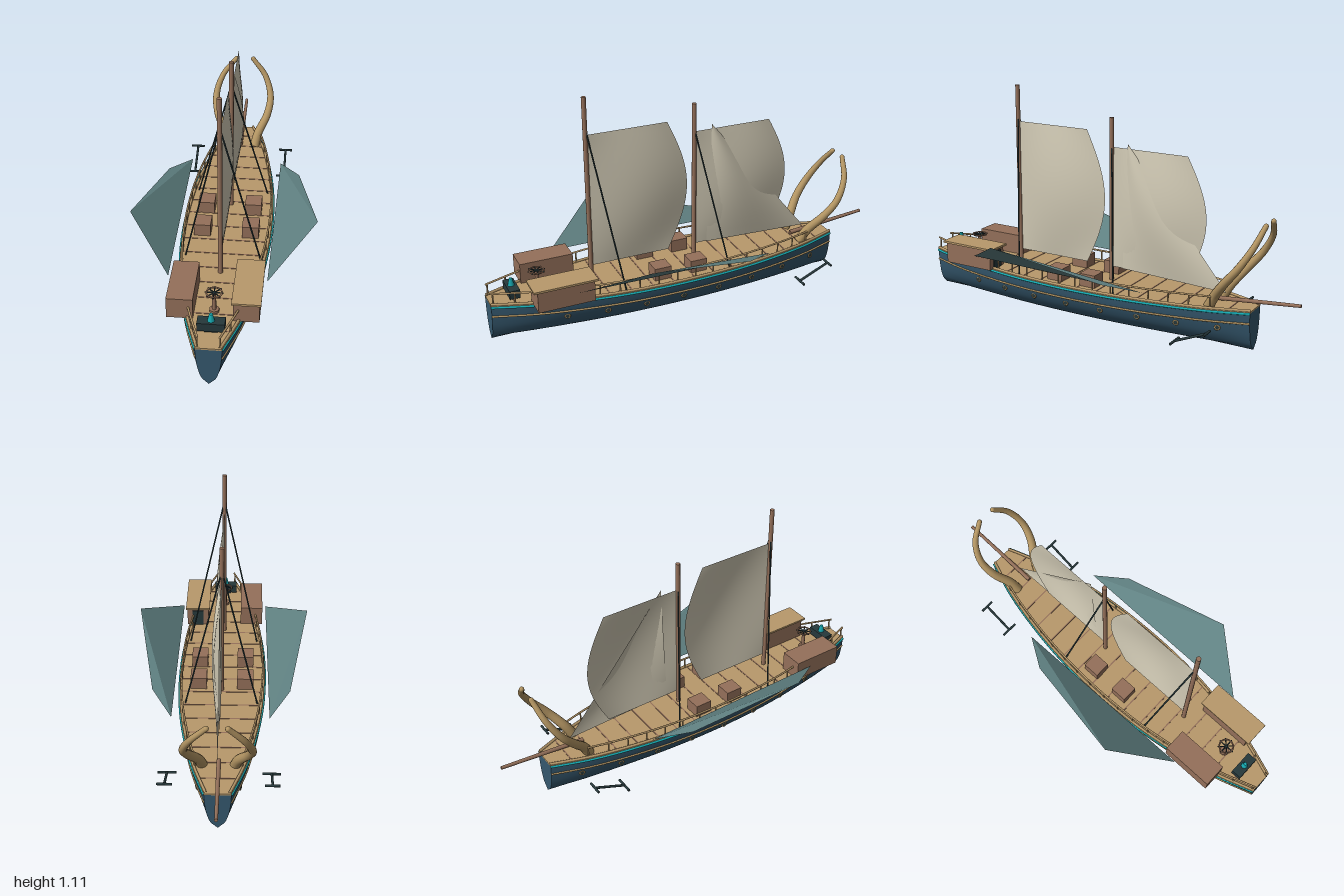
import * as THREE from 'three';

const mat = (name, color, side = THREE.FrontSide) => {
  const m = new THREE.MeshStandardMaterial({ color, side });
  m.name = name;
  return m;
};

export function createModel() {
  const ship = new THREE.Group();
  ship.name = 'sailingShip';
  const M = {
    hull: mat('hullBlue', 0x35586e),
    deck: mat('deckTan', 0xb8996b),
    wood: mat('woodBrown', 0x94705a),
    horn: mat('hornTan', 0xb39563),
    dark: mat('darkMetal', 0x26383b),
    glow: mat('cyan', 0x17adb5),
    sail: mat('sailCanvas', 0xd0c9b4, THREE.DoubleSide),
    fin: mat('finTeal', 0x5f8081, THREE.DoubleSide),
  };
  const V = (x, y, z) => new THREE.Vector3(x, y, z);

  const add = (name, geo, material, x = 0, y = 0, z = 0) => {
    const mesh = new THREE.Mesh(geo, material);
    mesh.name = name;
    mesh.position.set(x, y, z);
    ship.add(mesh);
    return mesh;
  };
  const box = (name, m, x0, x1, y0, y1, z0, z1) =>
    add(name, new THREE.BoxGeometry(x1 - x0, y1 - y0, z1 - z0), m, (x0 + x1) / 2, (y0 + y1) / 2, (z0 + z1) / 2);
  // Round bar between two points
  const rod = (name, m, a, b, r0, r1 = r0, sides = 10) => {
    const d = b.clone().sub(a);
    const mesh = add(name, new THREE.CylinderGeometry(r1, r0, d.length(), sides), m);
    mesh.position.copy(a).addScaledVector(d, 0.5);
    mesh.quaternion.setFromUnitVectors(V(0, 1, 0), d.normalize());
    return mesh;
  };
  // Surface from a rule f(u, v)
  const grid = (nu, nv, f) => {
    const pos = [], idx = [];
    for (let i = 0; i <= nu; i++) for (let j = 0; j <= nv; j++) pos.push(...f(i / nu, j / nv));
    for (let i = 0; i < nu; i++) for (let j = 0; j < nv; j++) {
      const a = i * (nv + 1) + j, b = a + nv + 1;
      idx.push(a, b, a + 1, b, b + 1, a + 1);
    }
    const g = new THREE.BufferGeometry();
    g.setAttribute('position', new THREE.Float32BufferAttribute(pos, 3));
    g.setIndex(idx);
    g.computeVertexNormals();
    return g;
  };

  // Half width of the hull along its length
  const Z0 = -0.785, Z1 = 1;
  const widths = [[-0.785, 0.06], [-0.6, 0.123], [-0.4, 0.168], [-0.2, 0.198], [0, 0.212], [0.2, 0.213],
    [0.4, 0.2], [0.6, 0.17], [0.8, 0.125], [1, 0.057]];
  const plan = new THREE.CatmullRomCurve3(widths.map(([z, w]) => V(w, 0, z))).getPoints(90);
  const halfWidth = (z) => {
    for (let i = 1; i < plan.length; i++) {
      const a = plan[i - 1], b = plan[i];
      if (z <= b.z) return a.x + (b.x - a.x) * (z - a.z) / (b.z - a.z);
    }
    return plan[plan.length - 1].x;
  };

  // Hull: one section, scaled to the local width
  const half = new THREE.SplineCurve([[1, 0.195], [0.97, 0.155], [0.9, 0.115], [0.78, 0.075], [0.55, 0.035], [0.25, 0.015], [0, 0]]
    .map((p) => new THREE.Vector2(...p))).getPoints(18);
  const section = [...half, ...half.slice(0, -1).reverse().map((p) => new THREE.Vector2(-p.x, p.y))];
  add('hull', grid(48, section.length - 1, (u, v) => {
    const z = Z0 + (Z1 - Z0) * u, p = section[Math.round(v * (section.length - 1))];
    return [p.x * halfWidth(z), p.y, z];
  }), M.hull);
  for (const [name, z, turn] of [['sternEnd', Z1, 0], ['bowEnd', Z0, Math.PI]]) {
    const s = new THREE.Shape(section.map((p) => new THREE.Vector2(p.x * halfWidth(z), p.y)));
    add(name, new THREE.ShapeGeometry(s), M.hull, 0, 0, z).rotation.y = turn;
  }

  // Deck with plank seams
  const outline = [...plan.map((p) => new THREE.Vector2(p.x, -p.z)),
    ...plan.slice().reverse().map((p) => new THREE.Vector2(-p.x, -p.z))];
  add('deck', new THREE.ExtrudeGeometry(new THREE.Shape(outline), { depth: 0.008, bevelEnabled: false })
    .rotateX(-Math.PI / 2), M.deck, 0, 0.194, 0);
  for (let z = -0.685; z < 0.95; z += 0.105) {
    const w = halfWidth(z) - 0.01;
    box('plankSeam', M.wood, -w, w, 0.2, 0.204, z - 0.003, z + 0.003);
  }

  // Trim that follows the hull on one side
  const follow = (name, m, s, f, inset, y, r, z0 = Z0, z1 = Z1) => {
    const pts = [];
    for (let i = 0; i <= 24; i++) {
      const z = z0 + (z1 - z0) * i / 24;
      pts.push(V(s * (halfWidth(z) * f - inset), y, z));
    }
    add(name, new THREE.TubeGeometry(new THREE.CatmullRomCurve3(pts), 60, r, 6), m);
  };

  for (const s of [1, -1]) {
    follow('cyanBand', M.glow, s, 1, 0, 0.193, 0.006);
    follow('gunwale', M.deck, s, 1, 0.008, 0.206, 0.007);
    follow('hullTrim', M.horn, s, 0.965, 0, 0.145, 0.005);
    follow('rail', M.deck, s, 1, 0.012, 0.26, 0.005, -0.62);
    for (let i = 0; i <= 17; i++) {
      const z = -0.61 + i * 0.094, x = s * (halfWidth(z) - 0.012);
      rod('railPost', M.deck, V(x, 0.2, z), V(x, 0.26, z), 0.004, 0.004, 6);
    }
    // Portholes
    for (let i = 0; i < 8; i++) {
      const z = 0.67 - i * 0.188;
      const ring = add('portholeRing', new THREE.TorusGeometry(0.011, 0.004, 6, 16), M.horn, s * halfWidth(z) * 0.905, 0.115, z);
      const slope = Math.atan2(halfWidth(z + 0.01) - halfWidth(z - 0.01), 0.02);
      ring.rotation.y = s * (Math.PI / 2 + slope);
      const pane = add('portholePane', new THREE.CylinderGeometry(0.011, 0.011, 0.006, 16).rotateX(Math.PI / 2), M.dark);
      pane.position.copy(ring.position);
      pane.rotation.copy(ring.rotation);
    }
    // Side fins
    const A = [0.23, 0.262, -0.335], B = [0.33, 0.302, -0.175], C = [0.43, 0.415, 0.365], D = [0.22, 0.27, 0.63];
    const fin = new THREE.BufferGeometry();
    const tris = [A, C, B, A, D, C].flatMap(([x, y, z]) => [s * x, y, z]);
    fin.setAttribute('position', new THREE.Float32BufferAttribute(tris, 3));
    if (s < 0) fin.setIndex([0, 2, 1, 3, 5, 4]);
    fin.computeVertexNormals();
    add('sideFin', fin, M.fin);

    // Tapered bow horn
    const path = new THREE.CatmullRomCurve3([V(0.075, 0.2, -0.59), V(0.09, 0.26, -0.625), V(0.135, 0.345, -0.69),
      V(0.148, 0.425, -0.755), V(0.115, 0.52, -0.81), V(0.045, 0.607, -0.837)].map((p) => p.setX(p.x * s)));
    const N = 36, R = 12, horn = new THREE.TubeGeometry(path, N, 1, R);
    const hp = horn.attributes.position;
    for (let i = 0; i < hp.count; i++) {
      const t = Math.floor(i / (R + 1)) / N, c = path.getPointAt(t);
      const p = V().fromBufferAttribute(hp, i).sub(c).multiplyScalar(0.025 - 0.013 * t).add(c);
      hp.setXYZ(i, p.x, p.y, p.z);
    }
    add('bowHorn', horn, M.horn);
    const tip = path.getPointAt(1);
    add('hornTip', new THREE.SphereGeometry(0.012, 12, 8), M.horn, tip.x, tip.y, tip.z);

    // Anchor hung beside the bow
    const x = s * 0.243;
    rod('anchorShank', M.dark, V(x, 0.14, -0.66), V(x, 0.072, -0.505), 0.006);
    rod('anchorStock', M.dark, V(x - 0.035, 0.14, -0.66), V(x + 0.035, 0.14, -0.66), 0.006);
    rod('anchorArm', M.dark, V(x - 0.043, 0.072, -0.505), V(x + 0.043, 0.072, -0.505), 0.006);

    // Deck lockers
    for (const z of [0.01, 0.195])
      box('locker', M.wood, s * 0.115 - 0.04, s * 0.115 + 0.04, 0.2, 0.264, z - 0.042, z + 0.042);
  }

  // Masts, shrouds and sails
  for (const [zm, top, head, rope] of [[0.5, 1.11, 0.93, 0.97], [-0.035, 1.0, 0.86, 0.88]]) {
    rod('mast', M.wood, V(0, 0.2, zm), V(0, top, zm), 0.011, 0.011, 14);
    for (const s of [1, -1])
      rod('shroud', M.dark, V(0, rope, zm), V(s * 0.175, 0.2, zm - 0.11), 0.004, 0.004, 6);
    add('sail', grid(14, 18, (u, v) => {
      const reach = 0.39 + 0.1 * Math.sin(Math.PI * v);
      return [0.033 * Math.sin(Math.PI * u) * Math.sin(Math.PI * v), 0.27 + (head - 0.27) * v, zm - 0.008 - reach * u];
    }), M.sail);
  }
  const peak = V(0, 0.885, -0.125), tack = V(0, 0.25, -0.645), clew = V(0, 0.27, -0.1);
  add('jib', grid(12, 12, (u, v) => {
    const p = clew.clone().lerp(tack, u).lerp(peak, v);
    return [0.006 + 0.035 * Math.sin(Math.PI * u) * Math.sin(Math.PI * v), p.y, p.z];
  }), M.sail);
  rod('bowsprit', M.wood, V(0, 0.215, -0.58), V(0, 0.255, -1), 0.011, 0.008);

  // Deck cabins
  box('cabin', M.wood, -0.203, -0.087, 0.2, 0.302, 0.56, 0.82);
  box('roofedCabin', M.wood, 0.087, 0.2, 0.2, 0.302, 0.55, 0.82);
  box('cabinRoof', M.deck, 0.08, 0.207, 0.302, 0.312, 0.535, 0.838);
  box('cabinDoor', M.dark, 0.115, 0.172, 0.203, 0.29, 0.543, 0.551);

  // Helm: flat wheel on a pedestal
  rod('helmBase', M.wood, V(0, 0.2, 0.765), V(0, 0.215, 0.765), 0.022);
  rod('helmPost', M.wood, V(0, 0.21, 0.765), V(0, 0.305, 0.765), 0.009);
  add('helmWheel', new THREE.TorusGeometry(0.034, 0.004, 6, 24).rotateX(Math.PI / 2), M.wood, 0, 0.305, 0.765);
  for (let i = 0; i < 4; i++) {
    const a = i * Math.PI / 4, c = 0.041 * Math.cos(a), d = 0.041 * Math.sin(a);
    rod('helmSpoke', M.dark, V(-c, 0.305, 0.765 - d), V(c, 0.305, 0.765 + d), 0.003, 0.003, 6);
  }

  // Stern console with a glowing crystal
  box('console', M.dark, -0.06, 0.06, 0.216, 0.257, 0.862, 0.912);
  box('consoleFoot', M.dark, -0.03, 0.03, 0.2, 0.216, 0.875, 0.9);
  add('crystal', new THREE.CylinderGeometry(0.008, 0.016, 0.036, 8), M.glow, 0, 0.275, 0.888);

  return ship;
}
